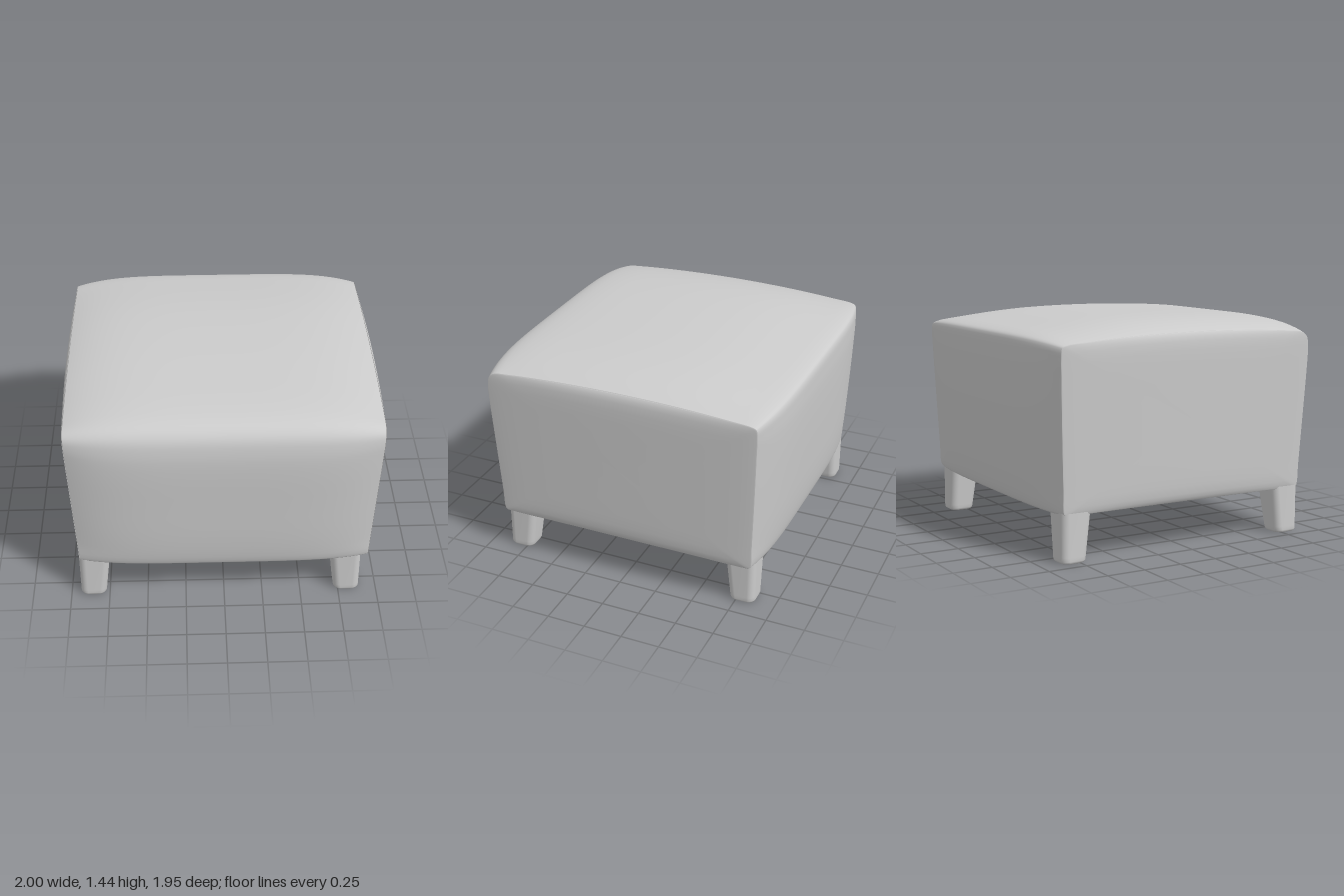
import * as THREE from 'three';

const material = new THREE.MeshStandardMaterial({ color: 0xcccccc });
const BOTTOM = 0.295;

// Closed [z, y] profiles with matching points: cushion middle and side seam.
const middle = smooth([
  [0, BOTTOM], [0.4, BOTTOM], [0.88, BOTTOM], [0.905, 0.298], [0.921, 0.315], [0.945, 0.45], [0.966, 0.8],
  [0.978, 1.1], [0.972, 1.22], [0.95, 1.31], [0.9, 1.365], [0.78, 1.402], [0.4, 1.428], [0, 1.435],
  [-0.4, 1.422], [-0.75, 1.383], [-0.93, 1.352], [-0.962, 1.33], [-0.974, 1.24], [-0.976, 1.1],
  [-0.966, 0.8], [-0.945, 0.45], [-0.921, 0.315], [-0.905, 0.298], [-0.88, BOTTOM], [-0.4, BOTTOM],
]);
const seam = smooth([
  [0, BOTTOM], [0.4, BOTTOM], [0.83, BOTTOM], [0.85, 0.297], [0.862, 0.31], [0.868, 0.45], [0.885, 0.8],
  [0.9, 1.13], [0.9, 1.23], [0.887, 1.285], [0.85, 1.315], [0.75, 1.328], [0.4, 1.348], [0, 1.355],
  [-0.4, 1.346], [-0.72, 1.326], [-0.87, 1.311], [-0.891, 1.297], [-0.896, 1.23], [-0.893, 1.13],
  [-0.882, 0.8], [-0.868, 0.45], [-0.862, 0.31], [-0.85, 0.297], [-0.83, BOTTOM], [-0.4, BOTTOM],
]);

function smooth(points) {
  const curve = new THREE.CatmullRomCurve3(points.map(([z, y]) => new THREE.Vector3(0, y, z)), true);
  const n = points.length * 4;
  return Array.from({ length: n }, (_, i) => curve.getPoint(i / n));
}

// Skin closed rings of points; faces look along (ring step) x (point step).
function loft(rings) {
  const n = rings[0].length, index = [];
  for (let i = 0; i < rings.length - 1; i++) {
    for (let j = 0; j < n; j++) {
      const k = (j + 1) % n;
      const a = i * n + j, b = i * n + k, c = a + n, d = b + n;
      index.push(a, c, b, c, d, b);
    }
  }
  const geometry = new THREE.BufferGeometry().setFromPoints(rings.flat());
  geometry.setIndex(index);
  geometry.computeVertexNormals();
  return geometry;
}

function addMesh(group, name, geometry) {
  const mesh = new THREE.Mesh(geometry, material);
  mesh.name = name;
  group.add(mesh);
}

// The sides lean outward towards the top.
const sideX = (y) => 0.93 + 0.045 * (y - BOTTOM);

// Shrinks the seam outline towards the middle of the side panel.
const inset = (p, s) => new THREE.Vector3(0, 0.82 + (p.y - 0.82) * s, p.z * s);

// Cover running over front, top, back and underside, tucked in at both seams.
function coverGeometry() {
  const rings = [], steps = 48;
  const tuck = (side) => seam.map((p) => {
    const q = inset(p, 0.985);
    return q.setX(side * sideX(q.y));
  });
  rings.push(tuck(-1));
  for (let i = 0; i <= steps; i++) {
    const u = Math.sin((i / steps - 0.5) * Math.PI);
    const w = Math.abs(u) ** 4.5;
    rings.push(middle.map((m, j) => {
      const p = m.clone().lerp(seam[j], w);
      return p.setX(u * (sideX(p.y) - 0.003));
    }));
  }
  rings.push(tuck(1));
  return loft(rings);
}

// Gently bulging side panel with a rounded rim.
function panelGeometry(side) {
  const scales = [0.985, 0.996, 0.998, 0.99, 0.975, 0.95, 0.9, 0.8, 0.65, 0.45, 0.2, 0];
  const rings = scales.map((s, i) => seam.map((p) => {
    const q = inset(p, s);
    const bulge = i < 2 ? 0 : 0.027 * (1 - s ** 16) * (1 - 0.75 * (q.z / 0.9) ** 2);
    return q.setX(side * (sideX(q.y) + bulge));
  }));
  return loft(side > 0 ? rings : rings.reverse());
}

// Square leg with rounded corners, straight outside and tapered inside.
function legGeometry(sx, sz) {
  const ring = (y, size, trim) => {
    const cx = sx * (0.912 - size / 2) - 0.025, cz = sz * (0.872 - size / 2);
    const half = Math.max(size / 2 - trim, 0), r = Math.min(0.045, half);
    const points = [];
    for (let corner = 0; corner < 4; corner++) {
      const mid = (corner + 0.5) * Math.PI / 2;
      for (let k = 0; k <= 6; k++) {
        const a = (corner + k / 6) * Math.PI / 2;
        points.push(new THREE.Vector3(
          cx + Math.sign(Math.cos(mid)) * (half - r) + Math.cos(a) * r, y,
          cz + Math.sign(Math.sin(mid)) * (half - r) + Math.sin(a) * r));
      }
    }
    return points;
  };
  return loft([
    ring(0, 0.165, 1), ring(0, 0.165, 0.012), ring(0, 0.165, 0.012),
    ring(0.005, 0.165, 0.004), ring(0.016, 0.166, 0), ring(0.04, 0.169, 0), ring(0.31, 0.2, 0),
  ]);
}

export function createModel() {
  const model = new THREE.Group();
  model.name = 'footstool';
  addMesh(model, 'cover', coverGeometry());
  for (const side of [1, -1]) {
    const sideName = side > 0 ? 'left' : 'right';
    addMesh(model, sideName + 'Panel', panelGeometry(side));
    addMesh(model, sideName + 'FrontLeg', legGeometry(side, 1));
    addMesh(model, sideName + 'BackLeg', legGeometry(side, -1));
  }
  return model;
}
